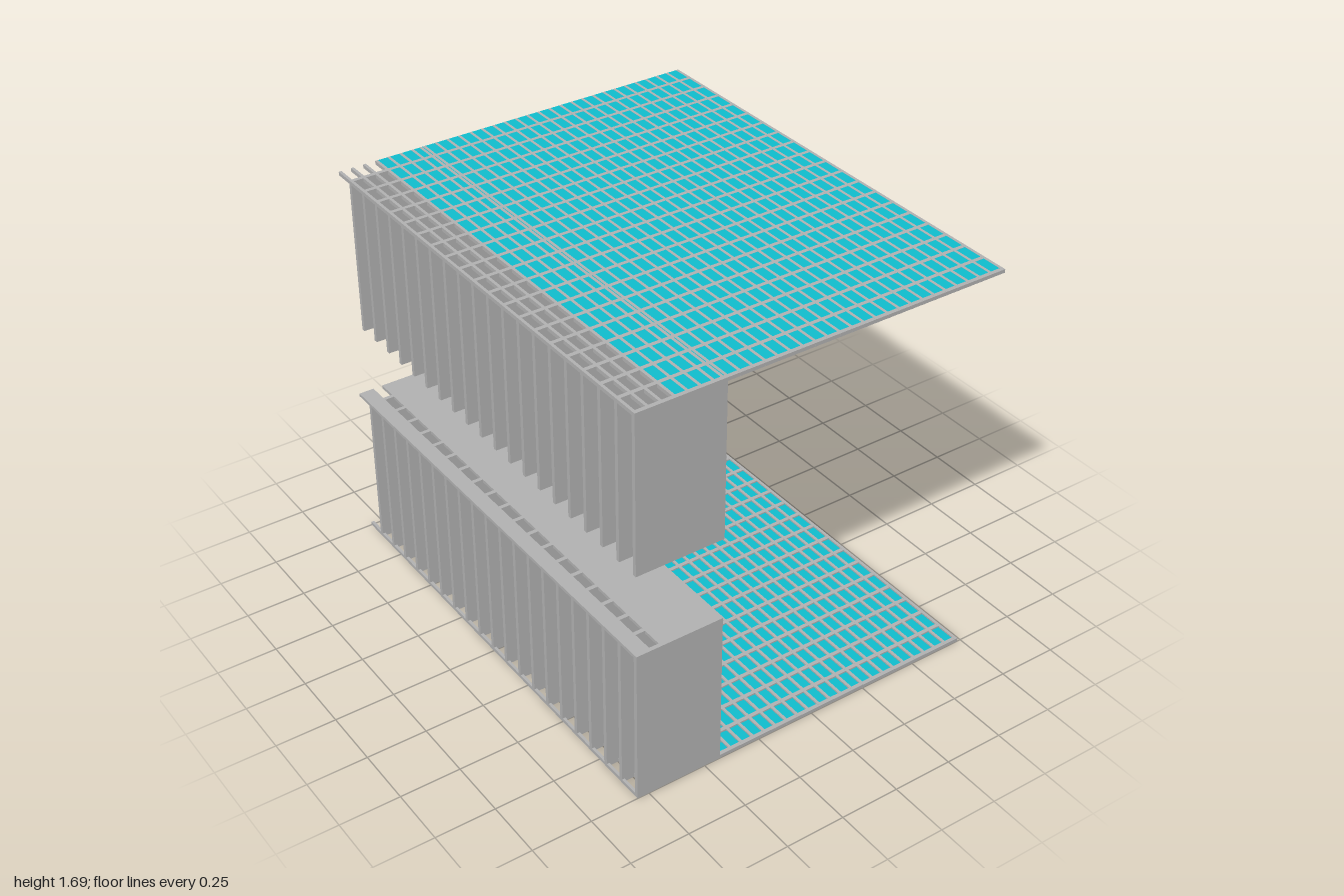
import * as THREE from 'three';
import { mergeGeometries } from 'three/addons/utils/BufferGeometryUtils.js';

const PITCH_X = 0.0525, PITCH_Z = 0.1, ROWS = 20;
const BAR = 0.012, RIB = 0.017, DEPTH = 0.015;
const X0 = -0.8, X1 = -0.43, TOP = 1.687, OPEN = 3;

// box given by its limits
function span(xa, xb, ya, yb, za, zb) {
  return new THREE.BoxGeometry(xb - xa, yb - ya, zb - za)
    .translate((xa + xb) / 2, (ya + yb) / 2, (za + zb) / 2);
}

export function createModel() {
  const gray = new THREE.MeshStandardMaterial({ color: 0xb0b0b0 });
  gray.name = 'concrete gray';
  const teal = new THREE.MeshStandardMaterial({ color: 0x10bccc });
  teal.name = 'glass teal';
  const model = new THREE.Group();
  model.name = 'twoStoreyGridFrame';

  function add(parent, name, parts, material) {
    const mesh = new THREE.Mesh(mergeGeometries(parts), material);
    mesh.name = name;
    parent.add(mesh);
  }
  // front face of the rib in row k; each bay runs behind it
  const ribZ = (k) => 1 - k * PITCH_Z;

  // grid deck: bars along z, ribs along x, panes in all but the first columns
  function deck(name, columns, y, paneY) {
    const group = new THREE.Group();
    group.name = name;
    const bars = [], ribs = [], panes = [];
    const end = X0 + columns * PITCH_X + BAR;
    for (let c = 0; c <= columns; c++) {
      const x = X0 + c * PITCH_X;
      bars.push(span(x, x + BAR, y, y + DEPTH, -1, 1));
    }
    for (let k = 0; k < ROWS; k++) {
      const z = ribZ(k);
      ribs.push(span(X0, end, y + 0.0003, y + DEPTH - 0.0003, z - RIB, z - 0.0003));
      for (let c = OPEN; c < columns; c++) {
        const x = X0 + c * PITCH_X;
        panes.push(span(x + BAR, x + PITCH_X, paneY, paneY + 0.008, z - PITCH_Z, z - RIB));
      }
    }
    add(group, name + 'Bars', bars, gray);
    add(group, name + 'Ribs', ribs, gray);
    add(group, name + 'Panes', panes, teal);
    model.add(group);
  }
  deck('upperDeck', 30, TOP - DEPTH, TOP - 0.0085);
  deck('lowerDeck', 29, 0, 0.0005);

  // row of upright fins closed on one side by a wall of panels
  function finBlock(name, ya, yb) {
    const group = new THREE.Group();
    group.name = name;
    const fins = [], panels = [];
    for (let k = 0; k < ROWS; k++) {
      const z = ribZ(k);
      fins.push(span(X0, X1, ya, yb, z - RIB, z));
      panels.push(span(X1 - 0.018, X1 - 0.006, ya, yb, z - PITCH_Z, z - RIB));
    }
    add(group, name + 'Fins', fins, gray);
    add(group, name + 'WallPanels', panels, gray);
    model.add(group);
  }
  finBlock('upperFinBlock', 1.022, TOP);
  finBlock('lowerFinBlock', 0, 0.66);

  // slotted plate on the lower block
  const slotA = X0 + PITCH_X + BAR, slotB = X0 + 2 * PITCH_X;
  const plate = [
    span(X0, slotA, 0.657, 0.67, -1, 1),
    span(slotB, X1, 0.657, 0.67, -1, 1),
  ];
  for (let k = 0; k < ROWS; k++) {
    plate.push(span(slotA, slotB, 0.657, 0.67, ribZ(k) - RIB, ribZ(k)));
  }
  add(model, 'slottedPlate', plate, gray);

  return model;
}
